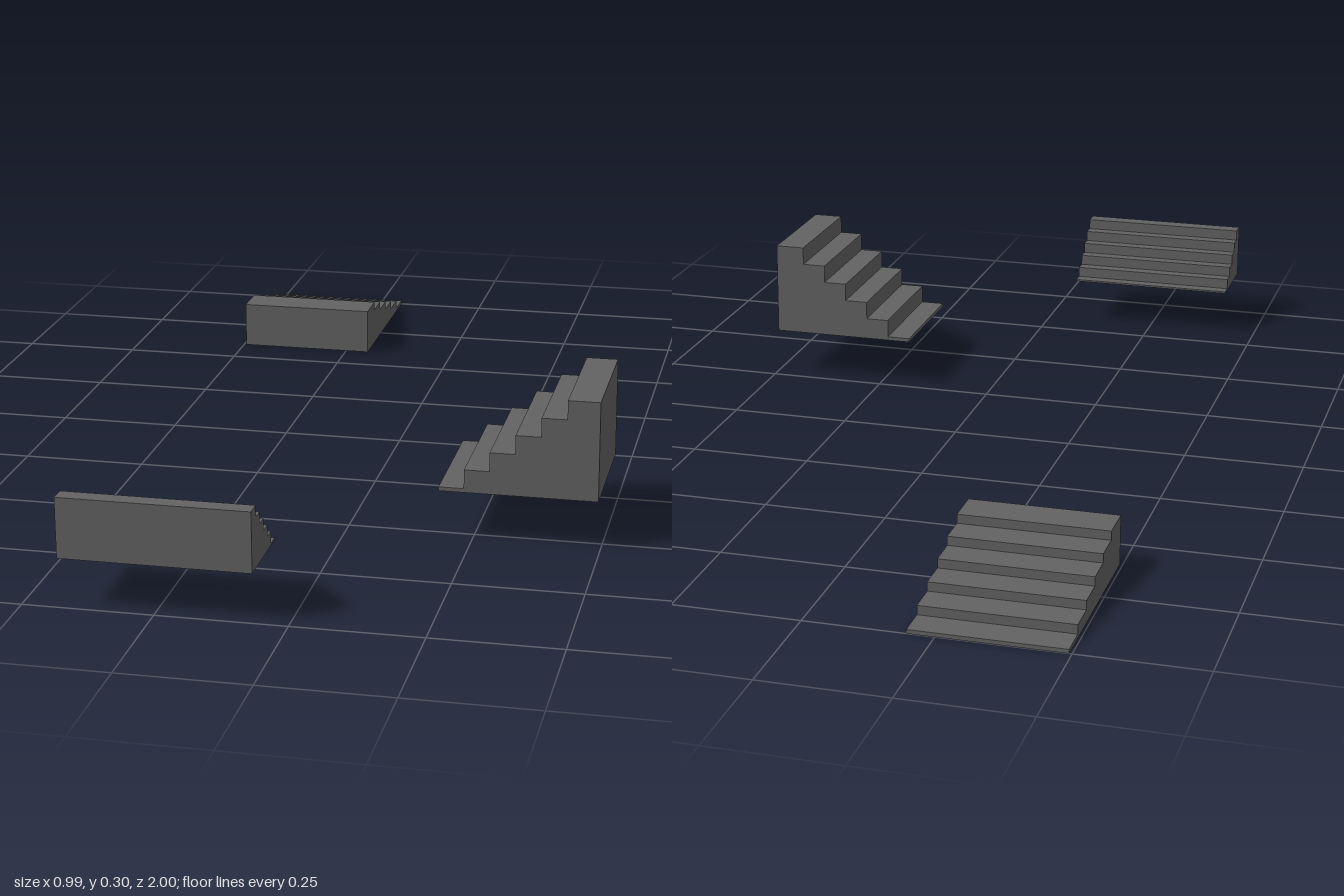
import * as THREE from 'three';

const material = new THREE.MeshStandardMaterial({ color: 0x636363, flatShading: true });

// Solid flight of steps: climbs along local +x from the origin, centred on z.
function makeStairs({ name, run, tread, lip, height, width, steps = 6 }) {
  const shape = new THREE.Shape();
  const rise = (height - lip) / (steps - 1);
  shape.moveTo(0, 0);
  for (let i = 0; i < steps; i++) {
    const top = lip + i * rise;
    shape.lineTo(i * tread, top);
    shape.lineTo(i === steps - 1 ? run : (i + 1) * tread, top);
  }
  shape.lineTo(run, 0);
  shape.closePath();
  const geometry = new THREE.ExtrudeGeometry(shape, { depth: width, bevelEnabled: false });
  geometry.translate(0, 0, -width / 2);
  const mesh = new THREE.Mesh(geometry, material);
  mesh.name = name;
  return mesh;
}

export function createModel() {
  const group = new THREE.Group();
  group.name = 'staircases';

  // Long shallow flight at the back, climbing towards +z
  const back = makeStairs({ name: 'shallowStairs', run: 0.405, tread: 0.065, lip: 0.008, height: 0.1, width: 0.297 });
  back.rotation.y = -Math.PI / 2;
  back.position.set(-0.346, 0, -1);

  // Tall flight on the left side, climbing towards +x
  const side = makeStairs({ name: 'tallStairs', run: 0.31, tread: 0.0495, lip: 0.008, height: 0.2, width: 0.27 });
  side.position.set(0.185, 0.1, 0.402);

  // Wide short flight at the front, climbing towards +z
  const front = makeStairs({ name: 'wideStairs', run: 0.166, tread: 0.0265, lip: 0.004, height: 0.118, width: 0.364 });
  front.rotation.y = -Math.PI / 2;
  front.position.set(-0.247, 0.096, 0.834);

  group.add(back, side, front);
  return group;
}
